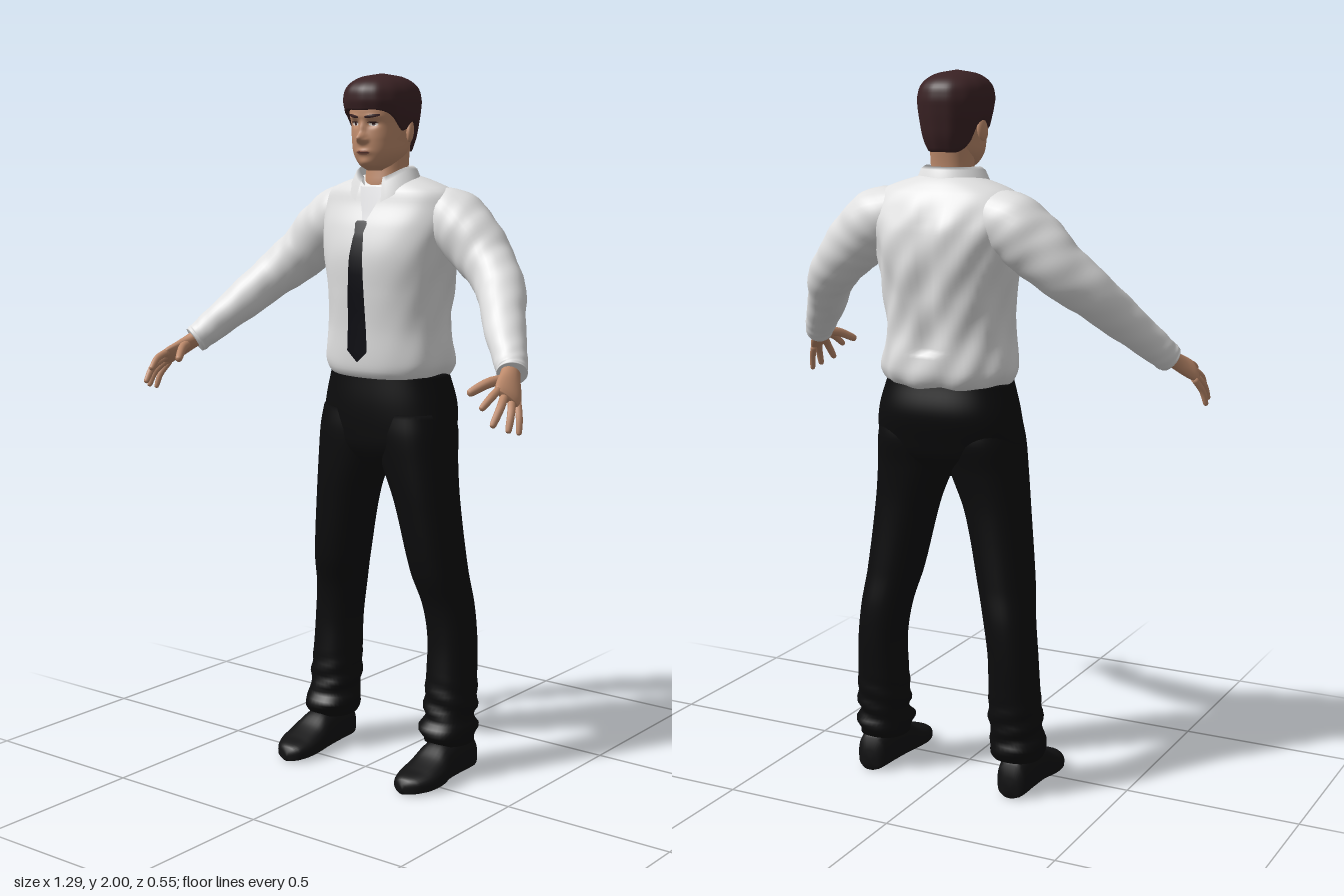
import * as THREE from 'three';

const V = (x, y, z) => new THREE.Vector3(x, y, z);
const spow = (v, p) => Math.sign(v) * Math.abs(v) ** p;
const clamp = THREE.MathUtils.clamp;

// Smooth interpolation of table rows keyed by their first column
function at(rows, k) {
  let i = 0;
  while (i < rows.length - 2 && k > rows[i + 1][0]) i++;
  const p = rows[Math.max(i - 1, 0)], a = rows[i], b = rows[i + 1], q = rows[Math.min(i + 2, rows.length - 1)];
  const d = b[0] - a[0], t = clamp((k - a[0]) / d, 0, 1), t2 = t * t, t3 = t2 * t;
  return a.map((_, c) => {
    const m0 = (b[c] - p[c]) / (b[0] - p[0]) * d, m1 = (q[c] - a[c]) / (q[0] - a[0]) * d;
    return (2 * t3 - 3 * t2 + 1) * a[c] + (t3 - 2 * t2 + t) * m0 + (3 * t2 - 2 * t3) * b[c] + (t3 - t2) * m1;
  });
}

// Skin over a list of rings (closed loops, or open strips when closed is false)
function skin(rings, closed = true, capStart = closed, capEnd = closed) {
  const n = rings[0].length, pos = [], idx = [];
  rings.forEach(r => r.forEach(p => pos.push(p.x, p.y, p.z)));
  for (let i = 0; i < rings.length - 1; i++)
    for (let j = 0; j < (closed ? n : n - 1); j++) {
      const a = i * n + j, b = i * n + (j + 1) % n;
      idx.push(a, b, b + n, a, b + n, a + n);
    }
  const cap = (r, base, flip) => {
    const c = r.reduce((s, p) => s.add(p), V(0, 0, 0)).divideScalar(n), m = pos.length / 3;
    pos.push(c.x, c.y, c.z);
    for (let j = 0; j < n; j++) {
      const a = base + j, b = base + (j + 1) % n;
      idx.push(m, ...(flip ? [b, a] : [a, b]));
    }
  };
  if (capStart) cap(rings[0], 0, true);
  if (capEnd) cap(rings[rings.length - 1], (rings.length - 1) * n, false);
  const g = new THREE.BufferGeometry();
  g.setAttribute('position', new THREE.Float32BufferAttribute(pos, 3));
  g.setIndex(idx);
  g.computeVertexNormals();
  return g;
}

function mirror(geo) {
  const g = geo.clone(), ix = g.index.array;
  const p = g.attributes.position;
  for (let i = 0; i < p.count; i++) p.setX(i, -p.getX(i));
  for (let i = 0; i < ix.length; i += 3) [ix[i + 1], ix[i + 2]] = [ix[i + 2], ix[i + 1]];
  g.computeVertexNormals();
  return g;
}

// Horizontal oval; angle 0 faces the front
const oval = (a, y, x0, x1, zf, zb, n = 2.3) => V(
  (x0 + x1) / 2 + (x1 - x0) / 2 * spow(Math.sin(a), 2 / n), y,
  (zf + zb) / 2 + (zf - zb) / 2 * spow(Math.cos(a), 2 / n));

// Upright form from rows [y, xInner, xOuter, zFront, zBack], with an optional rule per point
function column(rows, steps, segs, rule = p => p, n = 2.3) {
  const y0 = rows[0][0], y1 = rows[rows.length - 1][0];
  return skin(Array.from({ length: steps + 1 }, (_, i) => {
    const y = y0 + (y1 - y0) * i / steps, r = at(rows, y);
    return Array.from({ length: segs }, (_, j) => {
      const a = j / segs * Math.PI * 2;
      return rule(oval(a, y, r[1], r[2], r[3], r[4], n), a, y);
    });
  }));
}
const sym = rows => rows.map(([y, w, f, b]) => [y, -w, w, f, b]);

// Limb along points [x, y, z, radiusAcross, radiusThick]
function limb(pts, across, steps, segs, ripple = 0) {
  const rows = pts.map((p, i) => [i, ...p]), end = pts.length - 1;
  const pos = k => V(...at(rows, k).slice(1, 4));
  return skin(Array.from({ length: steps + 1 }, (_, i) => {
    const k = end * i / steps, r = at(rows, k), c = pos(k);
    const T = pos(Math.min(k + 0.05, end)).sub(pos(Math.max(k - 0.05, 0))).normalize();
    const U = across.clone().addScaledVector(T, -across.dot(T)).normalize(), W = U.clone().cross(T);
    return Array.from({ length: segs }, (_, j) => {
      const a = j / segs * Math.PI * 2;
      const s = 1 + ripple * (Math.sin(k * 5 + 2 * a) + 0.6 * Math.sin(k * 9 - 3 * a));
      return c.clone().addScaledVector(U, Math.sin(a) * r[4] * s).addScaledVector(W, Math.cos(a) * r[5] * s);
    });
  }));
}

// Front height of a column, and thin patches laid upon it (rows [xa, ya, xb, yb])
const front = (rows, n = 2.3, extra = () => 0) => (x, y) => {
  const [, , w, f, b] = at(rows, y);
  return (f + b) / 2 + (f - b) / 2 * (1 - Math.min(1, Math.abs(x / w)) ** n) ** (1 / n) + extra(x, y);
};
const patch = (surf, rows, lift) => skin(rows.map(([xa, ya, xb, yb]) => Array.from({ length: 9 }, (_, i) => {
  const x = xa + (xb - xa) * i / 8, y = ya + (yb - ya) * i / 8;
  return V(x, y, surf(x, y) + lift);
})), false);

const TORSO = sym([[1.15, .165, 0, -.235], [1.165, .18, .018, -.252], [1.2, .194, .026, -.262], [1.3, .181, .028, -.255],
  [1.4, .184, .033, -.265], [1.5, .2, .033, -.275], [1.58, .215, .012, -.268], [1.64, .215, -.016, -.242],
  [1.68, .195, -.03, -.218], [1.7, .15, -.045, -.2], [1.715, .1, -.06, -.185], [1.728, .05, -.08, -.16]]);
const HIPS = sym([[.9, .12, -.03, -.17], [.95, .195, 0, -.215], [1, .213, .008, -.235], [1.08, .205, .012, -.255], [1.17, .18, .008, -.24]]);
const LEG = [[.1, .15, .28, -.045, -.195], [.14, .135, .293, -.03, -.205], [.17, .145, .28, -.05, -.2], [.2, .138, .286, -.055, -.205],
  [.3, .14, .28, -.065, -.21], [.4, .14, .275, -.07, -.215], [.5, .125, .265, -.062, -.215], [.6, .1, .252, -.032, -.206],
  [.8, .053, .23, -.01, -.2], [.92, .006, .22, 0, -.21], [1, -.01, .213, .004, -.225], [1.06, -.01, .2, 0, -.22]];
const HEAD = sym([[1.735, .02, -.02, -.08], [1.75, .044, -.002, -.11], [1.78, .066, .01, -.145], [1.82, .074, .014, -.165],
  [1.86, .08, .012, -.178], [1.9, .084, .018, -.182], [1.94, .08, .005, -.178], [1.97, .06, -.02, -.15], [1.985, .03, -.05, -.11]]);
const HAIR = sym([[1.77, .068, .01, -.163], [1.82, .083, .02, -.182], [1.86, .09, .025, -.19], [1.9, .096, .034, -.196],
  [1.93, .097, .041, -.198], [1.965, .084, .031, -.186], [1.99, .05, -.012, -.14], [2, .001, -.074, -.076]]);
const HAIRLINE = [[0, 1.9], [.6, 1.9], [1, 1.885], [1.3, 1.852], [1.45, 1.845], [1.62, 1.868], [1.9, 1.858], [2.1, 1.815], [2.5, 1.787], [3.15, 1.785]];

// Facial relief: [x, y, width, height, depth]
const RELIEF = [[0, 1.824, .012, .013, .024], [0, 1.85, .009, .02, .011], [0, 1.787, .022, .008, .006], [0, 1.756, .02, .012, .006],
  ...[-1, 1].flatMap(s => [[s * .03, 1.862, .015, .009, -.007], [s * .03, 1.882, .022, .007, .004], [s * .014, 1.818, .006, .006, .006]])];
const relief = (x, y) => RELIEF.reduce((s, [a, b, w, h, d]) => s + d * Math.exp(-(((x - a) / w) ** 2) - ((y - b) / h) ** 2), 0);

export function createModel() {
  const model = new THREE.Group();
  const mat = (name, color, side = THREE.FrontSide) => {
    const m = new THREE.MeshStandardMaterial({ color, side });
    m.name = name;
    return m;
  };
  const D = THREE.DoubleSide;
  const shirt = mat('shirt white', 0xe0e0e0, D), under = mat('undershirt white', 0xd2d2d4, D), black = mat('trouser black', 0x0c0c0d),
    shoeBlack = mat('shoe black', 0x111112), tieBlack = mat('tie black', 0x0b0b11, D), skinTone = mat('skin', 0xbd8a6b),
    hairBrown = mat('hair brown', 0x3a2224, D), eyeWhite = mat('eye white', 0xd8d0c8, D), lip = mat('lip', 0x96604f, D);
  const add = (name, geo, m) => {
    const o = new THREE.Mesh(geo, m);
    o.name = name;
    model.add(o);
  };
  const pair = (name, geo, m) => { add('left' + name, geo, m); add('right' + name, mirror(geo), m); };

  // Shirt body with soft folds and a shallow spine groove
  add('shirtBody', column(TORSO, 60, 72, (p, a, y) => {
    const side = Math.sin(a / 2) ** 2, low = clamp((1.7 - y) / .1, 0, 1);
    const f = side * low * (.004 * Math.sin(7 * a + y * 22) + .003 * Math.sin(11 * a - y * 38));
    p.x += f * Math.sin(a);
    p.z += f * Math.cos(a) + (y > 1.25 ? low * .012 * Math.exp(-((p.x / .03) ** 2)) * (Math.cos(a) < 0 ? 1 : 0) : 0);
    return p;
  }), shirt);

  // Folded collar, open at the front
  const collarRow = (w, f, b, y, drop) => Array.from({ length: 41 }, (_, i) => {
    const a = .42 + (Math.PI * 2 - .84) * i / 40;
    return oval(a, y - drop * Math.max(0, Math.cos(a)) ** 2, -w, w, f, b, 2);
  });
  add('collar', skin([collarRow(.072, -.035, -.162, 1.68, .01), collarRow(.079, -.03, -.166, 1.746, .035),
    collarRow(.09, -.018, -.176, 1.738, .045), collarRow(.108, -.003, -.187, 1.7, .06)], false), shirt);

  // Undershirt in the open neck, and the tie
  const chest = front(TORSO);
  add('undershirt', patch(chest, [[-.045, 1.69, .045, 1.69], [-.034, 1.66, .034, 1.66], [-.018, 1.625, .018, 1.625], [-.006, 1.595, .006, 1.595]], .003), under);
  const tieRows = [[1.598, .016], [1.59, .021], [1.565, .015], [1.55, .018], [1.5, .023], [1.45, .026], [1.4, .028], [1.35, .03], [1.3, .032], [1.235, .035], [1.205, .002]];
  add('tie', patch(chest, tieRows.map(([y, w]) => [-w - .004, y, w - .004, y]), .008), tieBlack);

  // Sleeves
  pair('Sleeve', limb([[.1, 1.63, -.14, .06, .06], [.19, 1.6, -.145, .088, .09], [.26, 1.55, -.14, .088, .086], [.33, 1.485, -.125, .077, .075],
    [.4, 1.42, -.08, .066, .067], [.46, 1.345, -.005, .056, .058], [.52, 1.275, .06, .046, .048], [.548, 1.242, .09, .042, .042],
    [.558, 1.23, .104, .04, .04]], V(0, 1, .3), 64, 32, .016), shirt);

  // Hands
  const across = V(-.47, .53, .7);
  pair('Palm', limb([[.54, 1.25, .08, .026, .024], [.562, 1.226, .118, .029, .021], [.58, 1.205, .15, .038, .018], [.596, 1.188, .18, .041, .015],
    [.602, 1.18, .194, .034, .009]], across, 20, 20), skinTone);
  const finger = (b, m, t, r) => limb([[...b, r, r], [...m, r, r * .95], [...t.map((v, i) => v * .85 + m[i] * .15), r * .8, r * .75], [...t, r * .25, r * .25]], across, 15, 10);
  const fingers = { Index: [[.58, 1.203, .2], [.583, 1.188, .237], [.575, 1.16, .273], .0105],
    Middle: [[.592, 1.19, .188], [.606, 1.162, .23], [.605, 1.117, .266], .011],
    Ring: [[.602, 1.178, .172], [.622, 1.145, .205], [.629, 1.1, .228], .0105],
    Little: [[.611, 1.168, .157], [.629, 1.132, .177], [.637, 1.09, .19], .0095],
    Thumb: [[.562, 1.222, .13], [.537, 1.214, .18], [.506, 1.188, .23], .0135] };
  for (const [n, f] of Object.entries(fingers)) pair(n + 'Finger', finger(...f), skinTone);

  // Trousers
  add('trouserHips', column(HIPS, 24, 56), black);
  pair('TrouserLeg', column(LEG, 80, 40, (p, a, y) => {
    const f = .004 * clamp((.3 - y) / .1, 0, 1) * Math.sin(y * 110 + 2 * a);
    return p.add(V(f * Math.sin(a), 0, f * Math.cos(a)));
  }), black);

  // Shoes: rows [z, centre x, half width, height]
  const SHOE = [[-.2, .225, .025, .06], [-.19, .225, .042, .1], [-.12, .223, .05, .12], [-.05, .221, .056, .108], [0, .223, .064, .078],
    [.05, .221, .062, .058], [.09, .216, .044, .046], [.103, .214, .027, .038], [.108, .213, .012, .028]];
  pair('Shoe', skin(Array.from({ length: 41 }, (_, i) => {
    const z = -.2 + .308 * i / 40, [, cx, w, h] = at(SHOE, z);
    return Array.from({ length: 28 }, (_, j) => {
      const a = j / 28 * Math.PI * 2, c = -Math.cos(a);
      return V(cx + w * spow(Math.sin(a), .8), h / 2 + h / 2 * spow(c, c < 0 ? .45 : .9), z);
    });
  })), shoeBlack);

  // Neck, head and ears
  add('neck', column(sym([[1.64, .068, -.04, -.165], [1.7, .061, -.04, -.158], [1.74, .058, -.047, -.156], [1.82, .06, -.05, -.165]]), 12, 32), skinTone);
  add('head', column(HEAD, 90, 112, (p, a) => {
    if (Math.cos(a) > 0) p.z += relief(p.x, p.y);
    return p;
  }), skinTone);
  const ear = new THREE.SphereGeometry(1, 20, 14);
  ear.scale(.01, .031, .018).rotateX(-.2).rotateY(.35).translate(.085, 1.843, -.092);
  pair('Ear', ear, skinTone);

  // Hair cap whose lower edge follows the hairline
  add('hair', skin(Array.from({ length: 33 }, (_, i) => Array.from({ length: 72 }, (_, j) => {
    const a = j / 72 * Math.PI * 2, y0 = at(HAIRLINE, Math.min(a, Math.PI * 2 - a))[1];
    const y = y0 + (2 - y0) * Math.sin(Math.max(0, i - 1) / 31 * Math.PI / 2), r = at(HAIR, y);
    const p = oval(a, y, r[1], r[2], r[3], r[4], 2.2), s = i === 0 ? .84 : 1 + .008 * Math.sin(13 * a) * Math.cos(i / 21);
    return V(p.x * s, y, -.078 + (p.z + .078) * s);
  })), true, false, true), hairBrown);

  // Face details
  const face = front(HEAD, 2.3, relief);
  const strip = (cx, cy, w, h, tilt, lens) => Array.from({ length: 9 }, (_, i) => {
    const u = i / 4 - 1, k = h * (lens ? Math.sqrt(1 - u * u * .98) : 1 - .6 * u * u), y = cy + tilt * u;
    return [cx + w * u, y + k, cx + w * u, y - k];
  });
  pair('Eyebrow', patch(face, strip(.032, 1.884, .021, .0045, .003, false), .002), hairBrown);
  pair('Eye', patch(face, strip(.031, 1.862, .014, .0048, 0, true), .0015), eyeWhite);
  pair('Iris', patch(face, strip(.031, 1.862, .005, .0048, 0, true), .0025), hairBrown);
  pair('Eyelid', patch(face, strip(.031, 1.8672, .0155, .0018, 0, false), .003), hairBrown);
  add('lips', patch(face, strip(0, 1.785, .023, .006, 0, true), .0012), lip);
  add('mouthLine', patch(face, strip(0, 1.786, .021, .001, 0, true), .002), hairBrown);

  return model;
}
